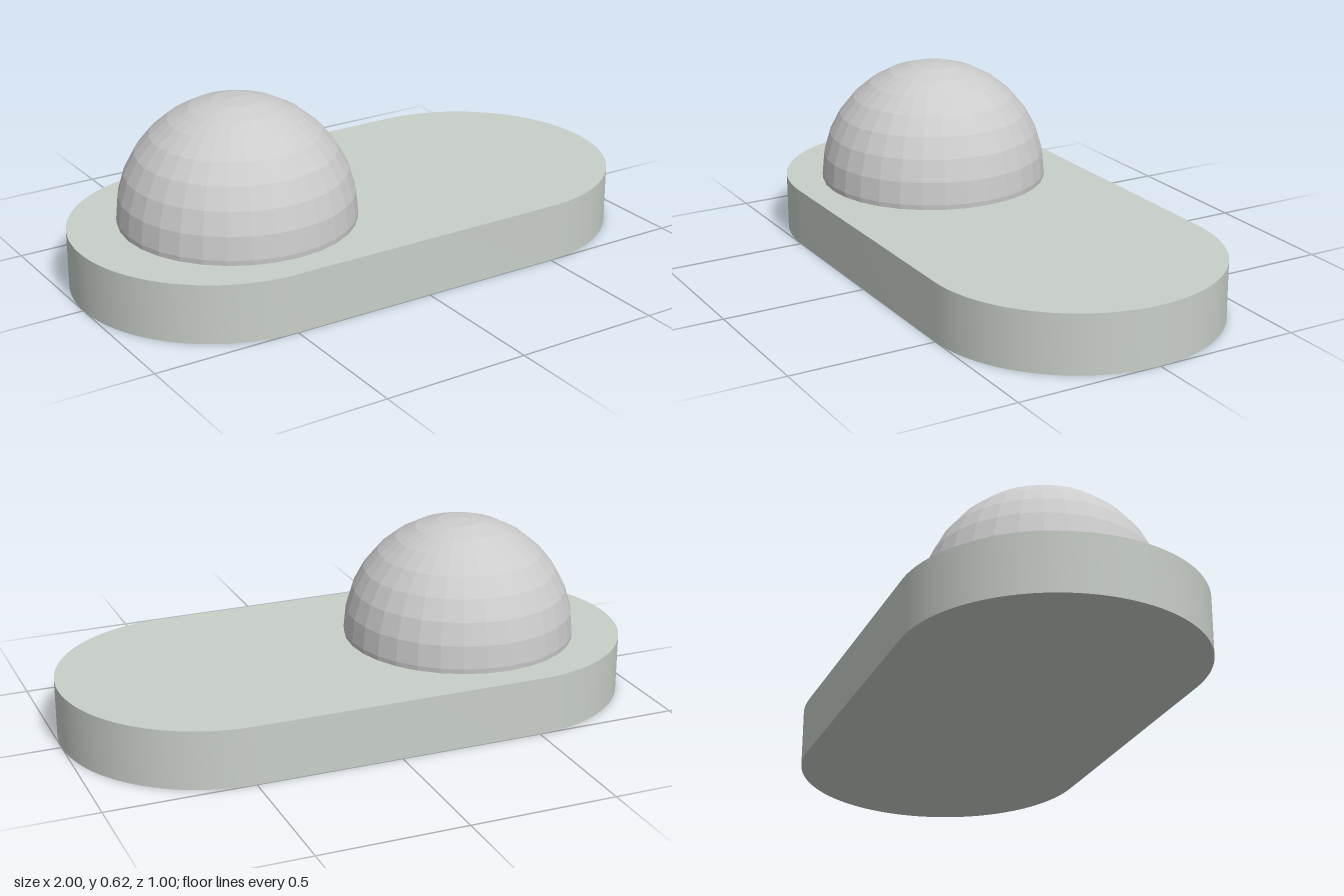
import * as THREE from 'three';
import { toCreasedNormals } from 'three/addons/utils/BufferGeometryUtils.js';

export function createModel() {
  const model = new THREE.Group();

  // Slab with round ends
  const outline = new THREE.Shape();
  outline.absarc(0.5, 0, 0.5, -Math.PI / 2, Math.PI / 2);
  outline.absarc(-0.5, 0, 0.5, Math.PI / 2, Math.PI * 1.5);
  outline.closePath();
  const slab = new THREE.ExtrudeGeometry(outline, { depth: 0.2, bevelEnabled: false, curveSegments: 32 });
  slab.rotateX(-Math.PI / 2);
  const base = new THREE.Mesh(
    toCreasedNormals(slab, Math.PI / 6),
    new THREE.MeshStandardMaterial({ color: 0xc8cec8 })
  );
  base.name = 'base';
  model.add(base);

  // Faceted dome, its lower ring sunk into the slab
  const dome = new THREE.Mesh(
    new THREE.SphereGeometry(0.4, 32, 9, 0, Math.PI * 2, 0, Math.PI * 9 / 16),
    new THREE.MeshStandardMaterial({ color: 0xcccccc, flatShading: true })
  );
  dome.name = 'dome';
  dome.position.set(-0.43, 0.217, 0);
  model.add(dome);

  return model;
}
